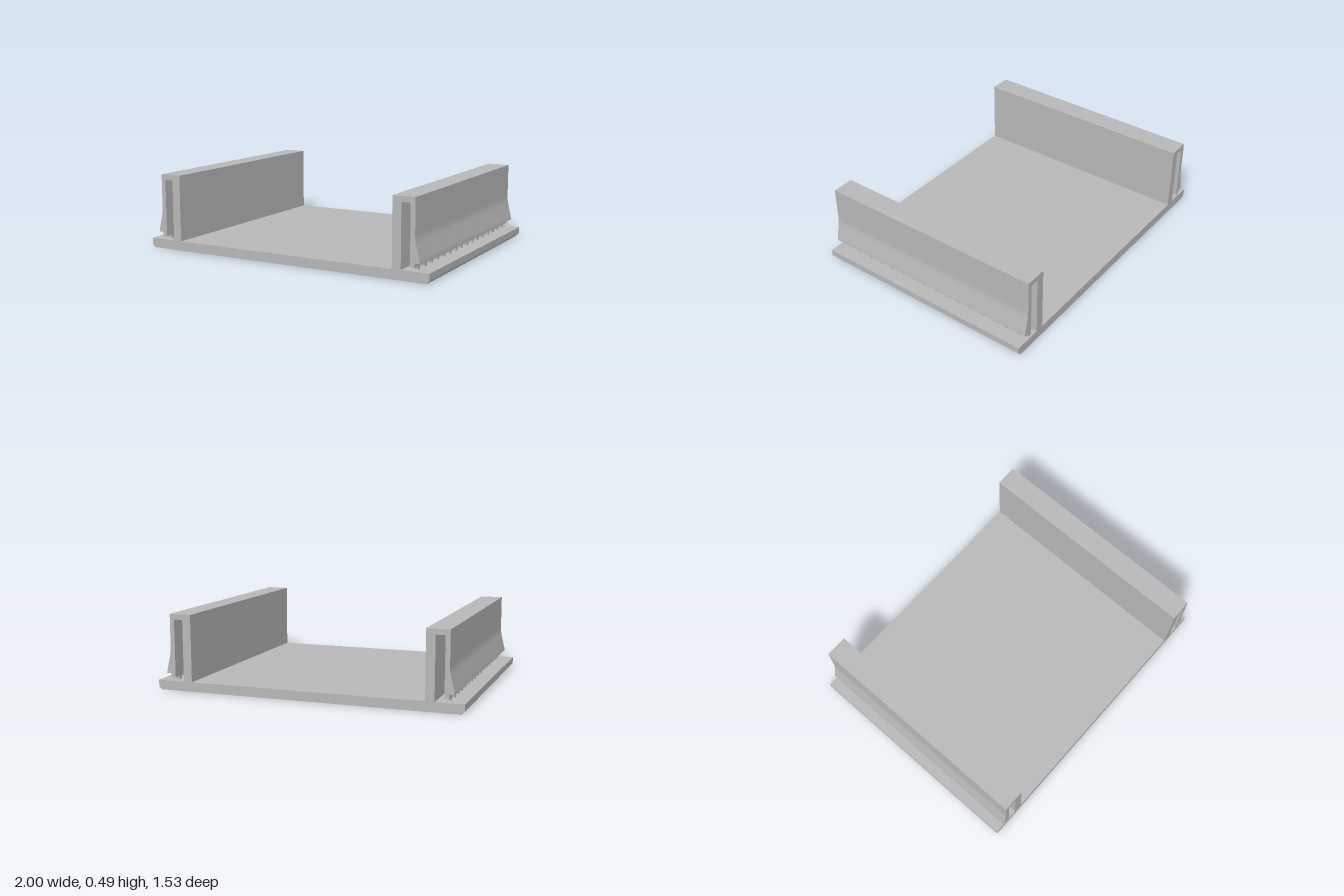
import * as THREE from 'three';

const DEPTH = 1.53; // full length along z

// Extrude an x/y outline along z, centred on z = 0
function extrudeProfile(shape, material, name) {
  const geometry = new THREE.ExtrudeGeometry(shape, { depth: DEPTH, bevelEnabled: false, curveSegments: 6 });
  geometry.translate(0, 0, -DEPTH / 2);
  const mesh = new THREE.Mesh(geometry, material);
  mesh.name = name;
  return mesh;
}

function polygon(points) {
  return new THREE.Shape(points.map(([x, y]) => new THREE.Vector2(x, y)));
}

// Hooked rail: inner wall, top bridge and a hanging outer leg with a flared lip
function railShape(side) {
  const s = new THREE.Shape();
  s.moveTo(side * 0.763, 0.06);
  s.lineTo(side * 0.82, 0.06);
  s.lineTo(side * 0.82, 0.458);
  s.lineTo(side * 0.878, 0.458);
  s.lineTo(side * 0.878, 0.084);
  s.lineTo(side * 0.908, 0.084);
  s.lineTo(side * 0.908, 0.111);
  s.lineTo(side * 0.939, 0.111);
  s.lineTo(side * 0.936, 0.13);
  s.lineTo(side * 0.914, 0.225);
  s.quadraticCurveTo(side * 0.908, 0.25, side * 0.908, 0.28);
  s.lineTo(side * 0.908, 0.493);
  s.lineTo(side * 0.763, 0.493);
  s.closePath();
  return s;
}

export function createModel() {
  const model = new THREE.Group();
  model.name = 'railTray';

  const grey = new THREE.MeshStandardMaterial({ color: 0xb8b8b8 });
  grey.name = 'plain grey';

  // Base plate with chamfered lower side edges
  const base = polygon([[-0.983, 0], [0.983, 0], [1, 0.02], [1, 0.062], [-1, 0.062], [-1, 0.02]]);
  model.add(extrudeProfile(base, grey, 'basePlate'));

  const toothGeometry = new THREE.BoxGeometry(0.022, 0.026, 0.0225);
  const toothCount = 16;
  const toothPitch = 0.0924;

  for (const side of [1, -1]) {
    const label = side > 0 ? 'left' : 'right';
    model.add(extrudeProfile(railShape(side), grey, label + 'Rail'));

    // Row of small supports between the base and the hanging leg
    const teeth = new THREE.Group();
    teeth.name = label + 'Supports';
    for (let i = 0; i < toothCount; i++) {
      const tooth = new THREE.Mesh(toothGeometry, grey);
      tooth.name = 'support';
      tooth.position.set(side * 0.893, 0.073, (i - (toothCount - 1) / 2) * toothPitch);
      teeth.add(tooth);
    }
    model.add(teeth);
  }
  return model;
}
